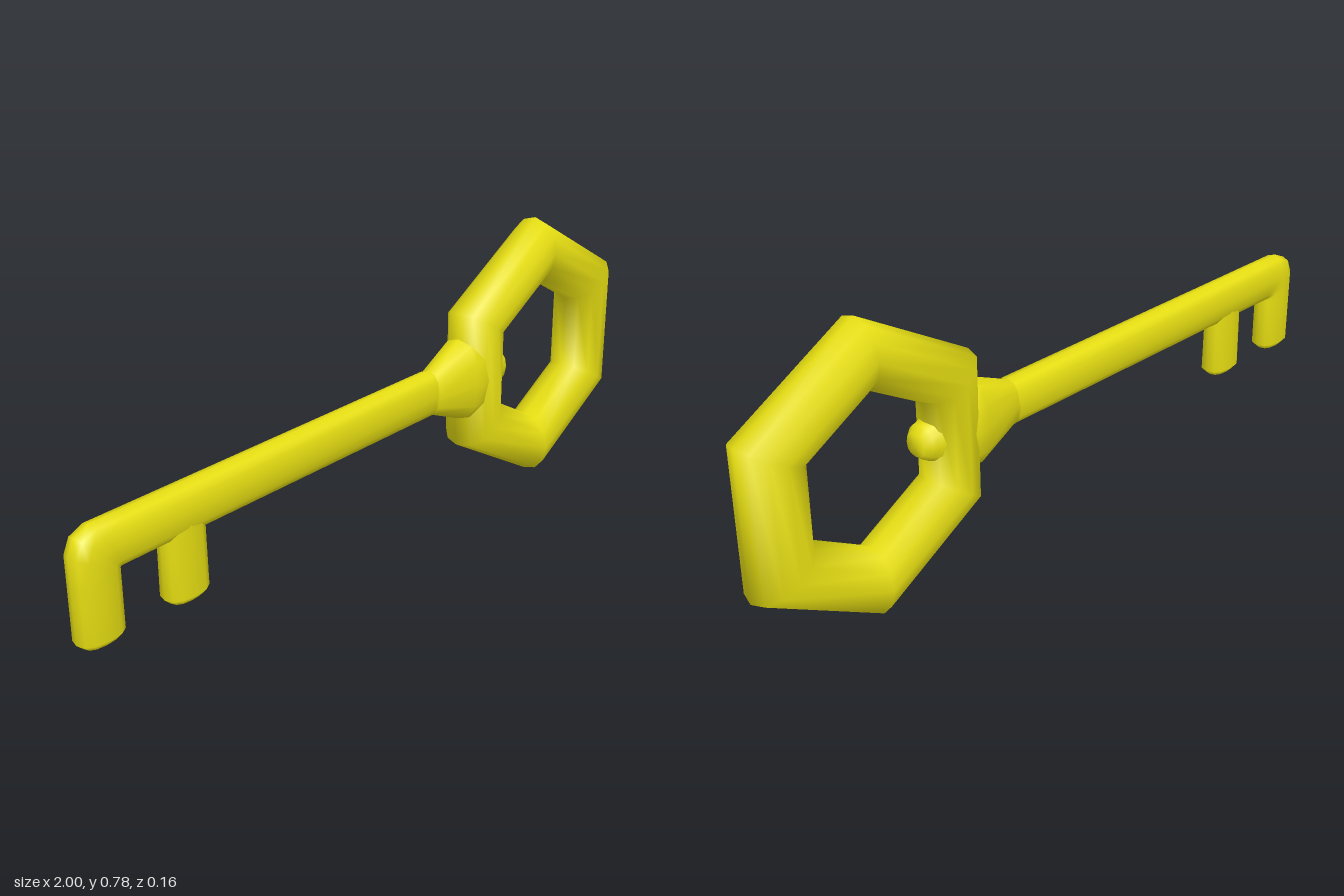
import * as THREE from 'three';

const material = new THREE.MeshStandardMaterial({ color: 0xe6de12 });

// Skin rounded sections; each station is [outerX, outerY, innerX, innerY, halfDepth].
// roundness 1 gives an ellipse, smaller values a squarer section.
function loft(name, stations, { sides = 12, roundness = 1, closed = false } = {}) {
  const positions = [], index = [], n = stations.length;
  const soften = (v) => Math.sign(v) * Math.abs(v) ** roundness;
  for (const [ax, ay, bx, by, depth] of stations) {
    for (let j = 0; j < sides; j++) {
      const t = (j / sides) * Math.PI * 2;
      const c = soften(Math.cos(t)), s = soften(Math.sin(t));
      positions.push((ax + bx) / 2 + ((ax - bx) / 2) * c, (ay + by) / 2 + ((ay - by) / 2) * c, depth * s);
    }
  }
  for (let i = 0; i < (closed ? n : n - 1); i++) {
    const p = i * sides, q = ((i + 1) % n) * sides;
    for (let j = 0; j < sides; j++) {
      const k = (j + 1) % sides;
      index.push(p + j, p + k, q + j, p + k, q + k, q + j);
    }
  }
  const geometry = new THREE.BufferGeometry();
  geometry.setAttribute('position', new THREE.Float32BufferAttribute(positions, 3));
  geometry.setIndex(index);
  geometry.computeVertexNormals();
  const mesh = new THREE.Mesh(geometry, material);
  mesh.name = name;
  return mesh;
}

// Hexagonal ring, mitred at its six corners
function createBow() {
  const stations = [];
  for (let i = 0; i < 6; i++) {
    const a = Math.PI / 2 - (i * Math.PI) / 3;
    const c = Math.cos(a), s = Math.sin(a);
    stations.push([0.661 + 0.389 * c, 0.39 + 0.389 * s, 0.654 + 0.208 * c, 0.39 + 0.208 * s, 0.078]);
  }
  return loft('bow', stations, { closed: true });
}

// Rounded foot of a tooth whose left side is at x, listed from the bottom up
function toothFoot(x, w = 0.125) {
  return [
    [x + w / 2, 0.165, x + w / 2, 0.165, 0],
    [x + 0.018, 0.165, x + w - 0.018, 0.165, 0.026],
    [x, 0.182, x + w, 0.182, 0.04],
  ];
}

export function createModel() {
  const group = new THREE.Group();
  group.name = 'key';

  // End tooth, bent round into the shaft
  const shaft = [
    ...toothFoot(-1),
    [-1, 0.33, -0.875, 0.33, 0.04],
    [-1, 0.4, -0.875, 0.332, 0.04],
    [-0.982, 0.439, -0.875, 0.332, 0.04],
    [-0.94, 0.457, -0.873, 0.332, 0.04],
    [-0.86, 0.457, -0.86, 0.332, 0.04],
    [0.195, 0.457, 0.195, 0.332, 0.04],
  ];
  group.add(loft('shaftAndEndTooth', shaft, { roundness: 0.8 }));

  // Second tooth, its top buried in the shaft
  const tooth = [...toothFoot(-0.75), [-0.75, 0.38, -0.625, 0.38, 0.036]];
  group.add(loft('innerTooth', tooth, { roundness: 0.8 }));

  // Flared collar running through the bow to a small knob: [x, halfHeight, halfDepth]
  const collar = [
    [0.19, 0.0625, 0.04], [0.2, 0.0635, 0.041], [0.325, 0.117, 0.07], [0.36, 0.115, 0.074],
    [0.46, 0.055, 0.05], [0.485, 0.046, 0.045], [0.505, 0.03, 0.03], [0.505, 0, 0],
  ].map(([x, h, d]) => [x, 0.393 + h, x, 0.393 - h, d]);
  group.add(loft('collar', collar, { roundness: 0.85 }));

  group.add(createBow());
  return group;
}
